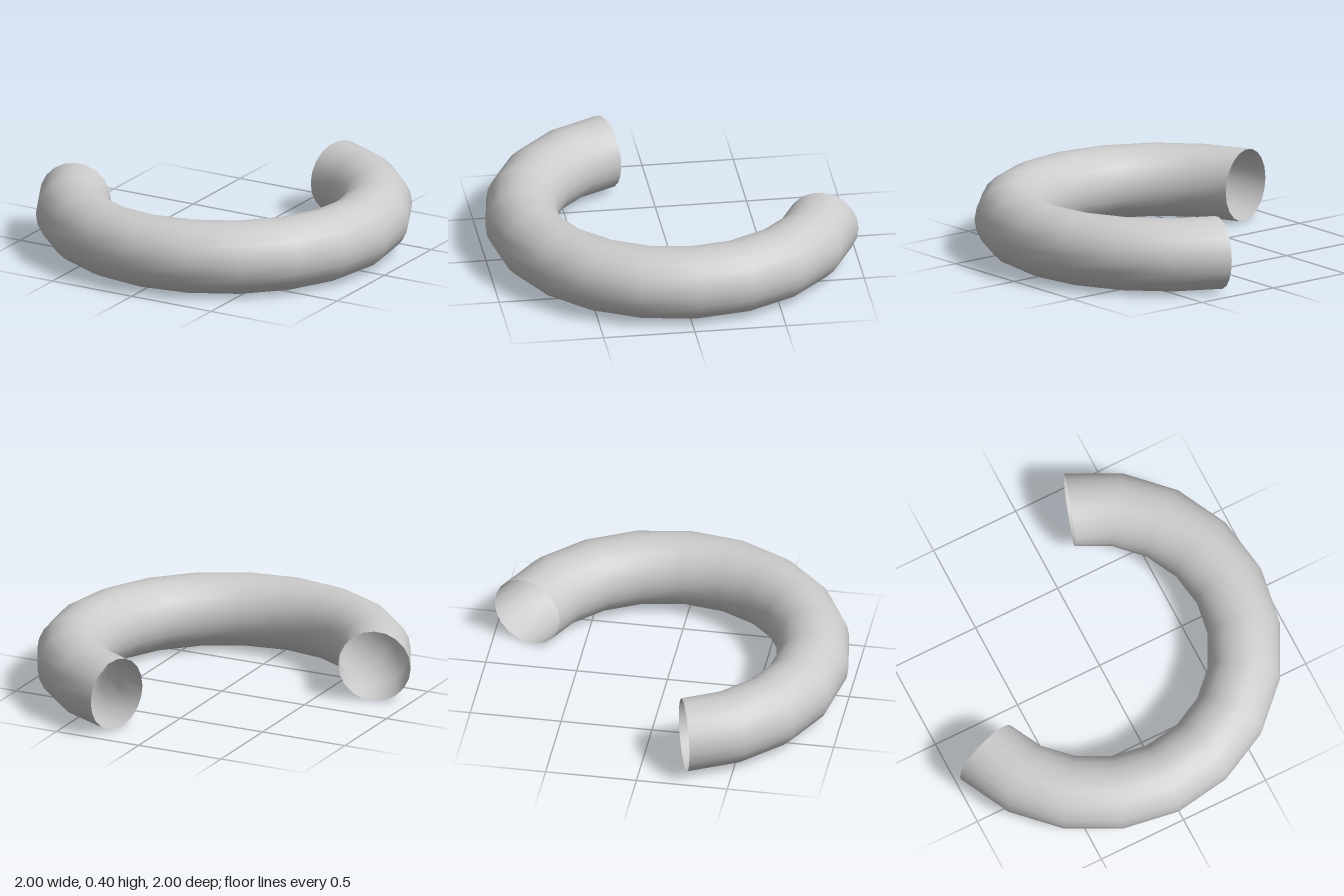
import * as THREE from 'three';

const RING_RADIUS = 0.826;
const TUBE_RADIUS = 0.199;
const STEP = Math.PI / 10; // 18 degrees per bend segment
const SEGMENTS = 13;
const OFFSET = -0.025; // ring centre in x and z, so the open arc is centred

export function createModel() {
  const group = new THREE.Group();
  group.name = 'curvedPipe';

  // Open-ended tube bent through 234 degrees, lying flat
  const geometry = new THREE.TorusGeometry(RING_RADIUS, TUBE_RADIUS, 20, SEGMENTS, SEGMENTS * STEP);
  geometry.rotateZ(-4 * STEP);
  geometry.rotateX(Math.PI / 2);

  const material = new THREE.MeshStandardMaterial({ color: 0xcccccc, side: THREE.DoubleSide });
  const pipe = new THREE.Mesh(geometry, material);
  pipe.name = 'bentTube';
  pipe.position.set(OFFSET, TUBE_RADIUS, OFFSET);
  group.add(pipe);

  return group;
}
